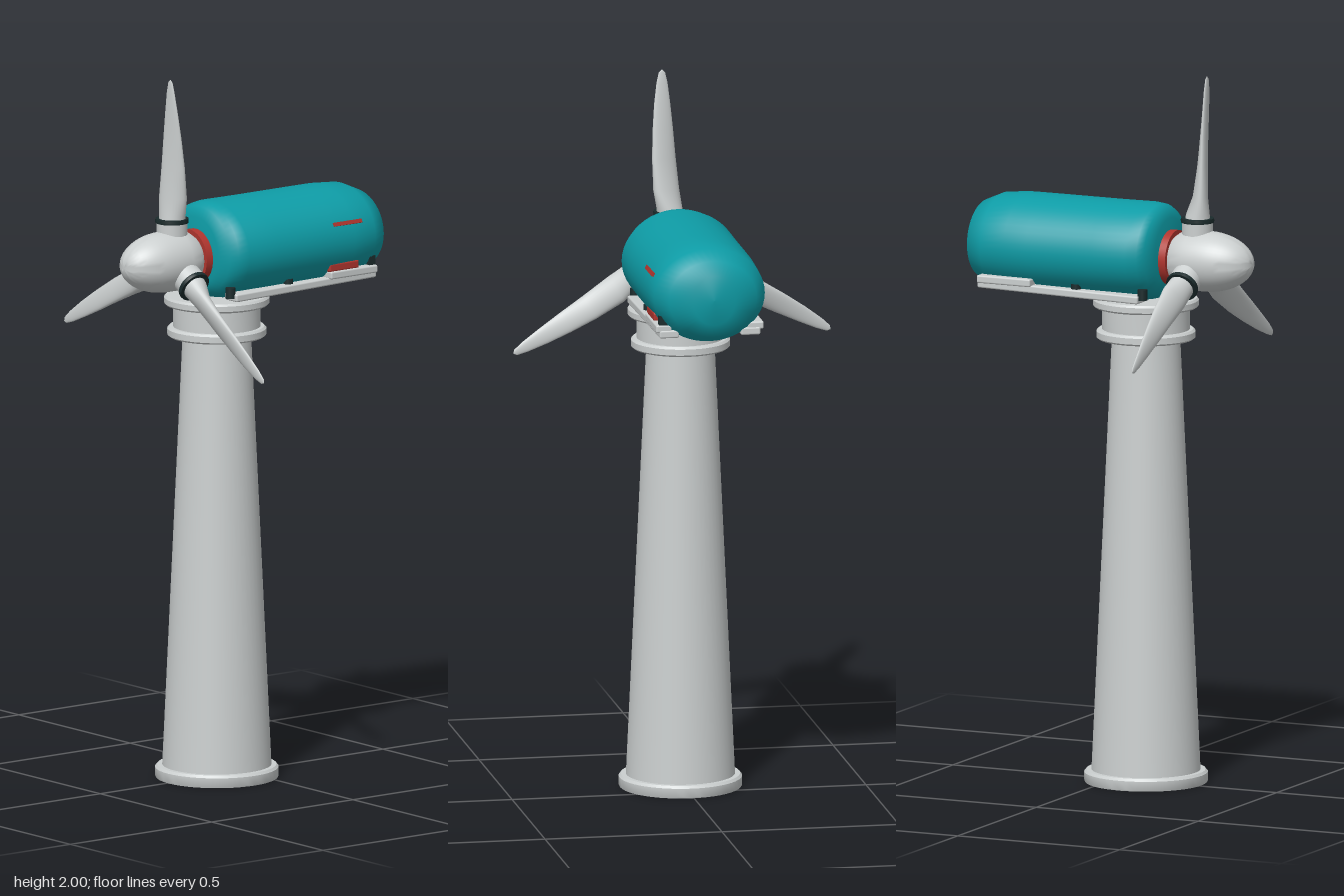
import * as THREE from 'three';
import { toCreasedNormals } from 'three/addons/utils/BufferGeometryUtils.js';
import { RoundedBoxGeometry } from 'three/addons/geometries/RoundedBoxGeometry.js';

const material = (name, color, side = THREE.FrontSide) => {
  const m = new THREE.MeshStandardMaterial({ color, side });
  m.name = name;
  return m;
};

// Smooth skin through elliptical sections [z, cx, cy, rx, ry, twist], z increasing
function loft(sections, sides = 40) {
  const pos = [], idx = [];
  sections.forEach(([z, cx, cy, rx, ry, twist = 0], i) => {
    for (let j = 0; j < sides; j++) {
      const a = (j / sides) * Math.PI * 2;
      const u = Math.cos(a) * rx, v = Math.sin(a) * ry;
      pos.push(cx + u * Math.cos(twist) - v * Math.sin(twist), cy + u * Math.sin(twist) + v * Math.cos(twist), z);
      if (i === sections.length - 1) continue;
      const p = i * sides + j, q = i * sides + ((j + 1) % sides);
      idx.push(p, q, p + sides, q, q + sides, p + sides);
    }
  });
  const g = new THREE.BufferGeometry();
  g.setAttribute('position', new THREE.Float32BufferAttribute(pos, 3));
  g.setIndex(idx);
  g.computeVertexNormals();
  return g;
}

const lathe = (pts, sides = 48) =>
  toCreasedNormals(new THREE.LatheGeometry(pts.map(([r, y]) => new THREE.Vector2(r, y)), sides), 0.6);

export function createModel() {
  const grey = material('light grey', 0xcbcfcf, THREE.DoubleSide);
  const teal = material('teal', 0x0e9ca6);
  const red = material('red', 0xb0352e);
  const dark = material('dark green grey', 0x1b2b2c);

  const model = new THREE.Group();
  model.name = 'windTurbine';
  const add = (name, geometry, mat, x = 0, y = 0, z = 0, parent = model) => {
    const mesh = new THREE.Mesh(geometry, mat);
    mesh.name = name;
    mesh.position.set(x, y, z);
    parent.add(mesh);
    return mesh;
  };
  const CX = 0.007;

  // Tower, hollow at the foot
  const tower = new THREE.Group();
  tower.name = 'tower';
  tower.position.set(CX, 0, 0.093);
  model.add(tower);
  add('towerShaft', new THREE.CylinderGeometry(0.095, 0.153, 1.25, 48, 1, true), grey, 0, 0.635, 0, tower);
  add('baseFlange', lathe([[0.15, 0], [0.17, 0], [0.172, 0.004], [0.172, 0.028], [0.166, 0.035], [0.148, 0.035]]), grey, 0, 0, 0, tower);
  // Stepped yaw bearing
  add('yawBearing', lathe([
    [0, 1.25], [0.132, 1.25], [0.138, 1.255], [0.138, 1.272], [0.132, 1.278], [0.122, 1.278],
    [0.122, 1.34], [0.142, 1.34], [0.147, 1.345], [0.147, 1.36], [0.142, 1.366], [0, 1.366],
  ]), grey, 0, 0, 0, tower);

  // Nacelle shell
  add('nacelle', loft([
    [-0.425, 0, 0, 0, 0], [-0.421, 0, 0, 0.06, 0.07], [-0.4, 0, 0, 0.124, 0.108],
    [-0.345, 0, 0, 0.157, 0.132], [-0.27, 0, 0, 0.161, 0.138], [-0.2, 0, 0, 0.164, 0.138],
    [0.0, 0, 0, 0.164, 0.138], [0.105, 0, 0.002, 0.164, 0.137], [0.135, 0, 0.004, 0.152, 0.132],
    [0.152, 0, 0.005, 0.135, 0.122], [0.167, 0, 0.003, 0.098, 0.096], [0.168, 0, 0, 0, 0],
  ], 48), teal, CX, 1.496, 0);

  // Rotor collar
  const collar = add('rotorCollar', new THREE.CylinderGeometry(0.077, 0.077, 0.024, 40), red, CX, 1.485, 0.177);
  collar.rotation.x = Math.PI / 2;

  // Support rails under the nacelle, mirrored
  for (const s of [-1, 1]) {
    const x = CX + s * 0.115;
    const rail = add('supportRail', new RoundedBoxGeometry(0.055, 0.022, 0.495, 2, 0.005), grey, x, 1.386, -0.1125);
    rail.rotation.x = 0.02;
    add('railLedge', new RoundedBoxGeometry(0.045, 0.022, 0.165, 2, 0.005), grey, CX + s * 0.13, 1.406, -0.275);
    for (const z of [0.14, -0.065])
      add('railBolt', new THREE.CylinderGeometry(0.014, 0.014, 0.03, 16), dark, CX + s * 0.12, 1.395, z);
  }
  // Fittings on one side
  add('brakeBlock', new RoundedBoxGeometry(0.04, 0.025, 0.105, 2, 0.006), red, CX + 0.128, 1.427, -0.243);
  add('brakeClip', new THREE.BoxGeometry(0.03, 0.03, 0.02), dark, CX + 0.128, 1.428, -0.345);
  const slit = add('sideSlit', new THREE.BoxGeometry(0.009, 0.011, 0.1), red, CX + 0.149, 1.549, -0.25);
  slit.rotation.z = 0.4;

  // Rotor: hub, sockets and three blades
  const rotor = new THREE.Group();
  rotor.name = 'rotor';
  rotor.position.set(CX, 1.482, 0);
  model.add(rotor);
  const hubProfile = [[0, 0.182], [0.062, 0.184], [0.077, 0.205], [0.085, 0.24]];
  for (let i = 0; i <= 12; i++) {
    const a = (i / 12) * Math.PI / 2;
    hubProfile.push([0.085 * Math.cos(a), 0.282 + 0.14 * Math.sin(a)]);
  }
  const hub = add('hub', lathe(hubProfile), grey, 0, 0, 0, rotor);
  hub.rotation.x = Math.PI / 2;

  const bladeGeometry = loft([
    [0.1, 0, 0, 0.037, 0.037, 0.5], [0.13, 0.002, 0, 0.038, 0.033, 0.5],
    [0.18, 0.01, -0.004, 0.042, 0.021, 0.45], [0.27, 0.016, -0.008, 0.037, 0.014, 0.35],
    [0.35, 0.018, -0.012, 0.031, 0.01, 0.25], [0.42, 0.019, -0.016, 0.024, 0.007, 0.15],
    [0.48, 0.019, -0.019, 0.016, 0.005, 0.05], [0.51, 0.019, -0.02, 0.009, 0.003],
    [0.518, 0.019, -0.02, 0, 0],
  ], 28);
  for (let i = 0; i < 3; i++) {
    const arm = new THREE.Group();
    arm.name = 'bladeArm';
    arm.position.z = 0.252;
    arm.rotation.z = (i * Math.PI * 2) / 3;
    rotor.add(arm);
    add('bladeSocket', new THREE.CylinderGeometry(0.043, 0.043, 0.08, 32), grey, 0, 0.07, 0, arm);
    add('socketRing', lathe([[0.034, 0.108], [0.046, 0.108], [0.047, 0.114], [0.046, 0.12], [0.034, 0.12], [0.034, 0.108]], 32), dark, 0, 0, 0, arm);
    const blade = add('blade', bladeGeometry, grey, 0, 0, 0, arm);
    blade.rotation.x = -Math.PI / 2;
  }
  return model;
}
